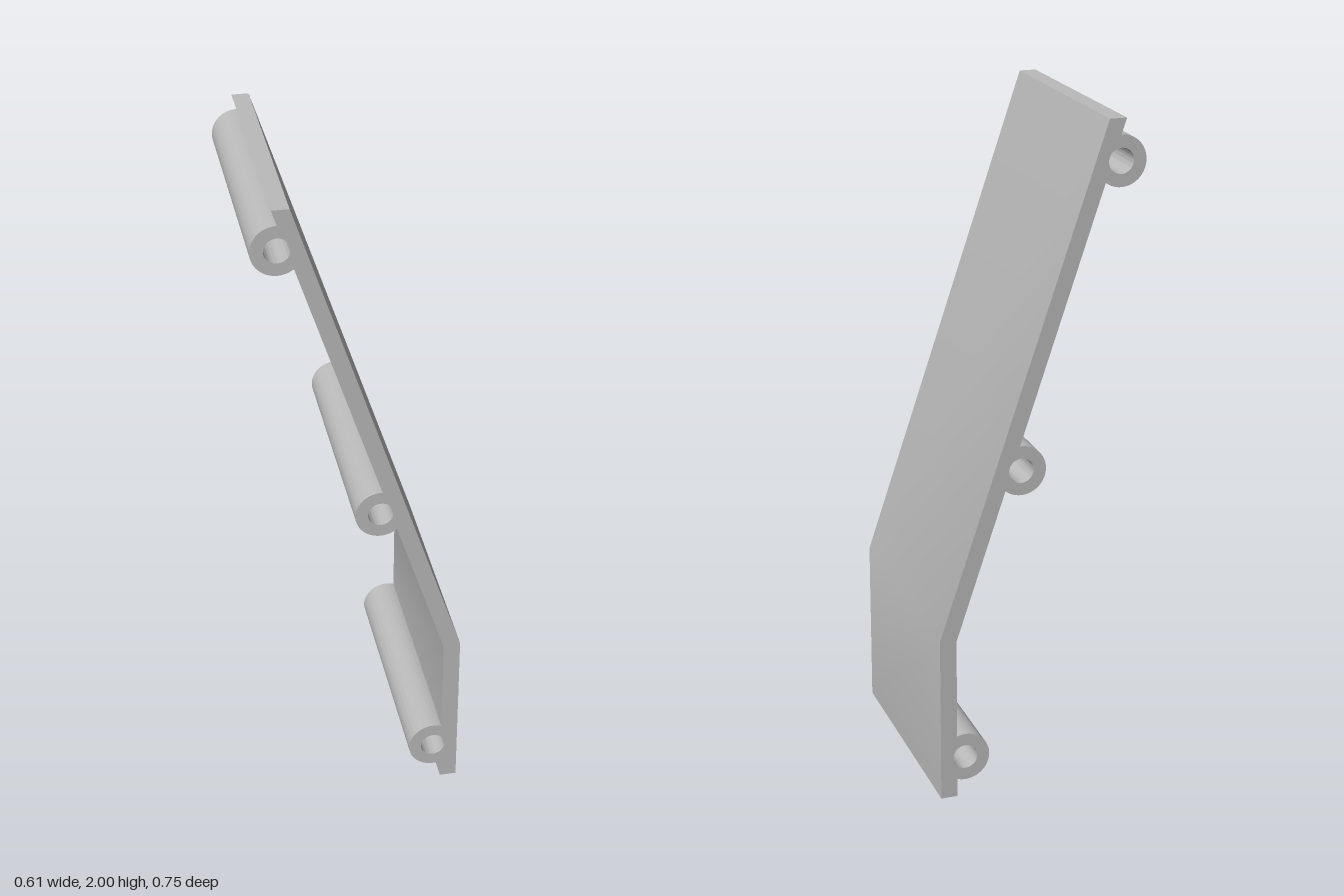
import * as THREE from 'three';
import { toCreasedNormals } from 'three/addons/utils/BufferGeometryUtils.js';

const DEPTH = 0.75;
const TUBE_R = 0.074;
const HOLE_R = 0.037;

export function createModel() {
  const group = new THREE.Group();
  group.name = 'bentPanel';
  const grey = new THREE.MeshStandardMaterial({ color: 0xbababa });
  grey.name = 'grey';

  // Outer side of the bent plate, from the foot up to the top edge
  const shape = new THREE.Shape();
  shape.moveTo(0.255, 0);
  shape.lineTo(0.305, 0);
  shape.lineTo(0.305, 0.507);
  shape.lineTo(-0.195, 2);
  shape.lineTo(-0.245, 2);

  // Tube bulging out of the inner side, with its bore
  const addTube = (from, to, x, y) => {
    const dir = to.clone().sub(from).normalize();
    const centre = new THREE.Vector2(x, y);
    const foot = from.clone().addScaledVector(dir, centre.clone().sub(from).dot(dir));
    const half = Math.sqrt(TUBE_R ** 2 - foot.distanceToSquared(centre));
    const angleAt = (s) => foot.clone().addScaledVector(dir, s).sub(centre).angle();
    shape.absarc(x, y, TUBE_R, angleAt(-half), angleAt(half), false);
    const bore = new THREE.Path();
    bore.absarc(x, y, HOLE_R, 0, Math.PI * 2, true);
    shape.holes.push(bore);
  };

  // Inner side, back down to the foot
  const top = new THREE.Vector2(-0.245, 2);
  const knee = new THREE.Vector2(0.255, 0.5);
  const base = new THREE.Vector2(0.255, 0);
  addTube(top, knee, -0.231, 1.88);
  addTube(top, knee, 0.058, 1.004);
  shape.lineTo(knee.x, knee.y);
  addTube(knee, base, 0.23, 0.126);
  shape.closePath();

  const geometry = new THREE.ExtrudeGeometry(shape, {
    depth: DEPTH, bevelEnabled: false, curveSegments: 40,
  });
  geometry.translate(0, 0, -DEPTH / 2);

  const panel = new THREE.Mesh(toCreasedNormals(geometry, Math.PI / 6), grey);
  panel.name = 'panelWithTubes';
  group.add(panel);
  return group;
}
